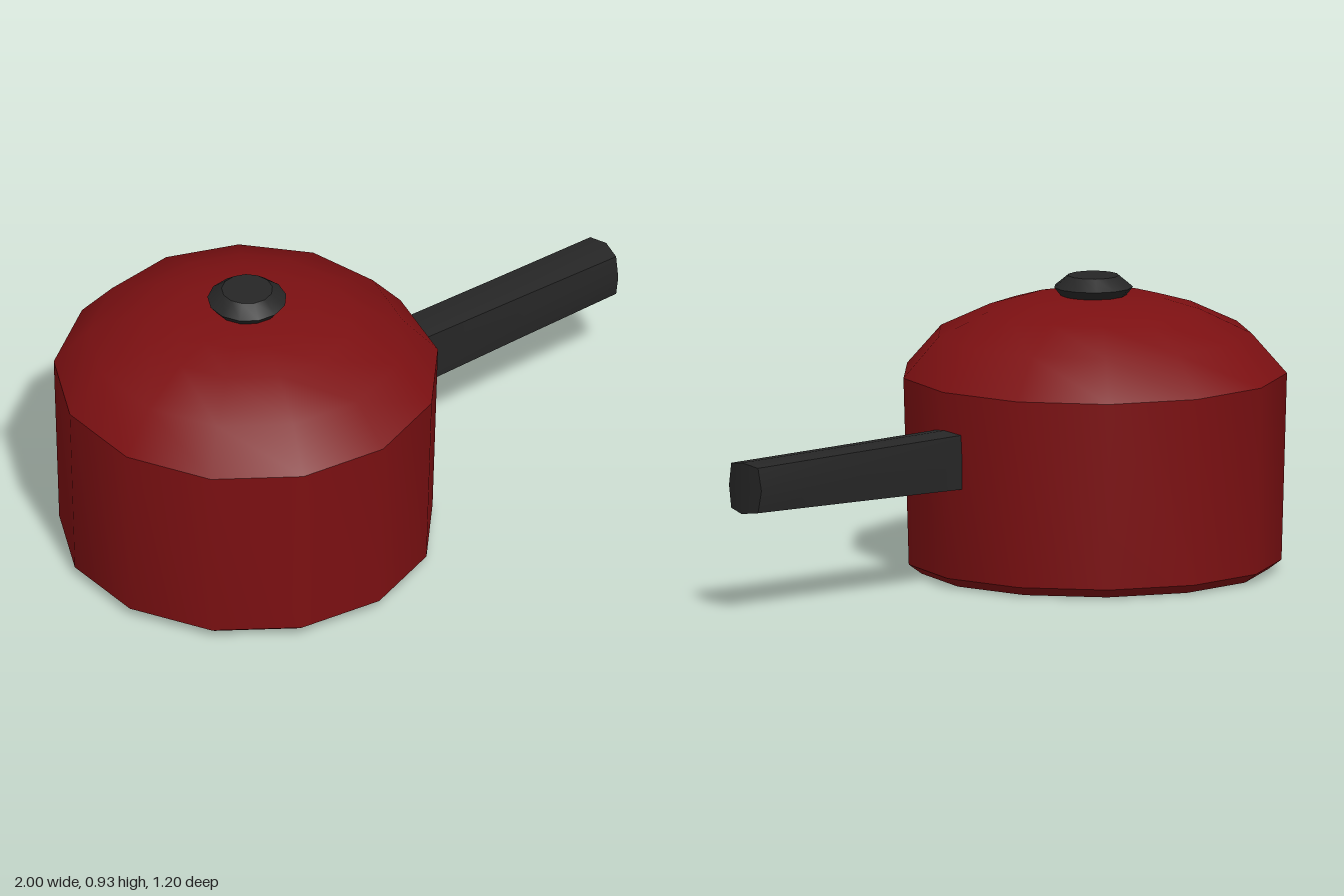
import * as THREE from 'three';
import { toCreasedNormals } from 'three/addons/utils/BufferGeometryUtils.js';

const SIDES = 13;
const POT_X = -0.414;
const HANDLE_Y = 0.405;

// Faceted round part from [radius, height] pairs, bottom to top, with a corner facing +x
function turned(name, profile, material) {
  const points = profile.map(([r, y]) => new THREE.Vector2(r, y));
  const geometry = new THREE.LatheGeometry(points, SIDES, Math.PI / 2);
  const mesh = new THREE.Mesh(toCreasedNormals(geometry, 0.6), material);
  mesh.name = name;
  mesh.position.x = POT_X;
  return mesh;
}

// Eight-cornered handle section: ridge height, corner height, corner and mid half widths
function section({ x, ridge, corner, width, mid, bulge = 0 }) {
  const ring = [
    [0, ridge], [width, corner], [mid, 0], [width, -corner],
    [0, -ridge], [-width, -corner], [-mid, 0], [-width, corner],
  ];
  return ring.map(([z, y]) => [x - bulge * Math.abs(z), HANDLE_Y + y, z]);
}

function handleGeometry() {
  const rings = [
    section({ x: 0.155, ridge: 0.095, corner: 0.086, width: 0.064, mid: 0.066 }),
    section({ x: 0.6, ridge: 0.087, corner: 0.078, width: 0.064, mid: 0.069 }),
    section({ x: 1.0, ridge: 0.081, corner: 0.071, width: 0.066, mid: 0.08, bulge: 0.18 }),
  ];
  const n = 8, last = rings.length - 1;
  const positions = rings.flat(2);
  positions.push(0.155, HANDLE_Y, 0, 1.0, HANDLE_Y, 0);
  const inner = rings.length * n, tip = inner + 1;
  const index = [];
  for (let i = 0; i < n; i++) {
    const j = (i + 1) % n;
    for (let k = 0; k < last; k++) {
      const a = k * n + i, b = k * n + j, c = a + n, d = b + n;
      index.push(a, b, c, b, d, c);
    }
    // End caps
    index.push(inner, j, i, tip, last * n + i, last * n + j);
  }
  const geometry = new THREE.BufferGeometry();
  geometry.setAttribute('position', new THREE.Float32BufferAttribute(positions, 3));
  geometry.setIndex(index);
  return toCreasedNormals(geometry, 0.5);
}

export function createModel() {
  const red = new THREE.MeshStandardMaterial({ color: 0x7c1012 });
  red.name = 'red enamel';
  const black = new THREE.MeshStandardMaterial({ color: 0x262626 });
  black.name = 'black plastic';

  const model = new THREE.Group();
  model.name = 'saucepan';

  // Pot with a bevelled base
  model.add(turned('pot', [[0, 0], [0.546, 0], [0.587, 0.03], [0.604, 0.62]], red));

  // Domed lid
  model.add(turned('lid', [
    [0.604, 0.62], [0.494, 0.745], [0.335, 0.82], [0.222, 0.853], [0.11, 0.864], [0, 0.866],
  ], red));

  // Lid knob
  model.add(turned('knob', [
    [0.1, 0.86], [0.124, 0.89], [0.08, 0.926], [0, 0.931],
  ], black));

  // Side handle
  const handle = new THREE.Mesh(handleGeometry(), black);
  handle.name = 'handle';
  model.add(handle);

  return model;
}
